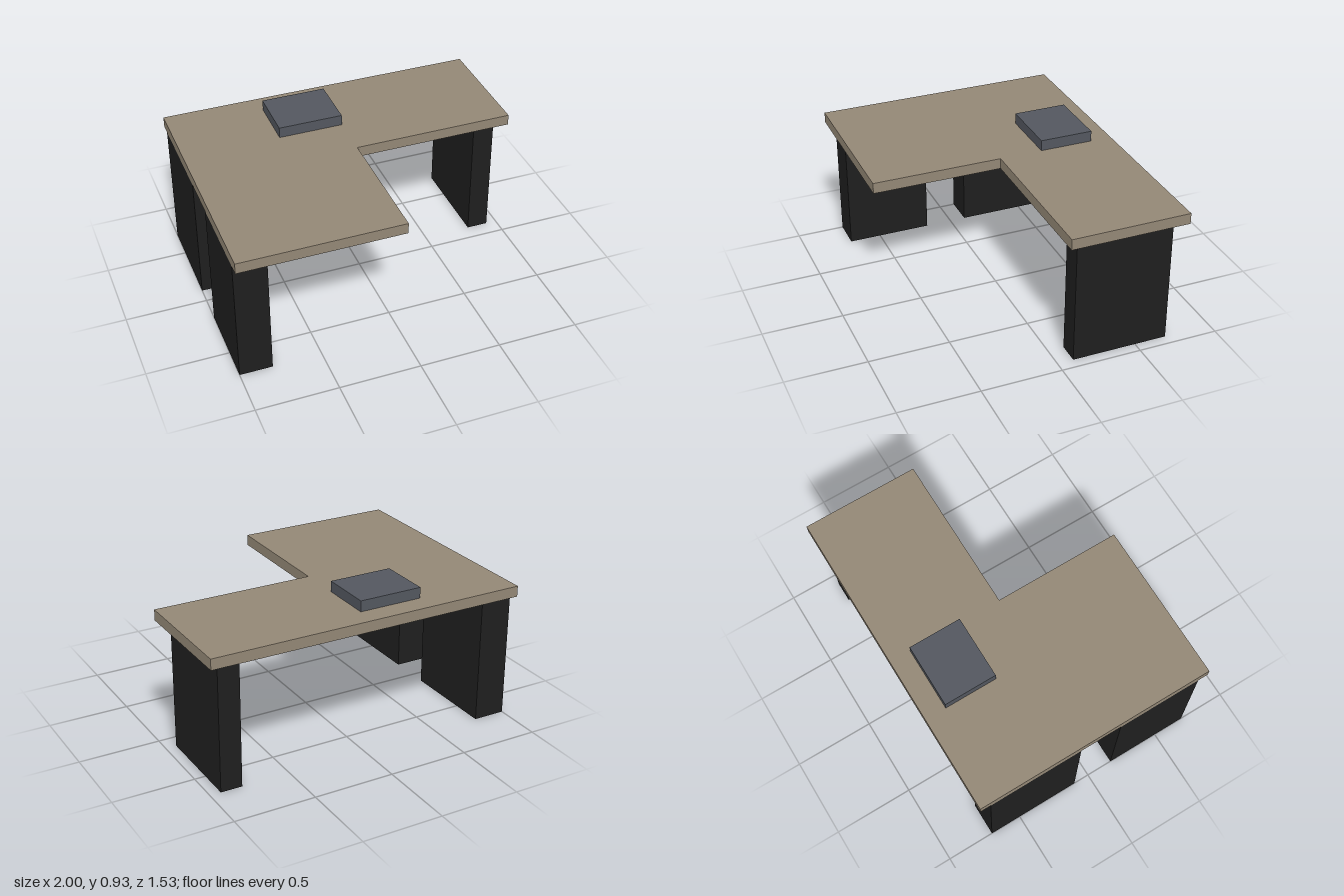
import * as THREE from 'three';

export function createModel() {
  const desk = new THREE.Group();
  desk.name = 'cornerDesk';

  const material = (name, color) => {
    const m = new THREE.MeshStandardMaterial({ color });
    m.name = name;
    return m;
  };
  const wood = material('taupe wood', 0x938775);
  const black = material('black panel', 0x1f1f1f);
  const slate = material('slate grey', 0x53575f);

  // Box given by its extents on each axis
  const addBox = (name, mat, [x0, x1], [y0, y1], [z0, z1]) => {
    const mesh = new THREE.Mesh(new THREE.BoxGeometry(x1 - x0, y1 - y0, z1 - z0), mat);
    mesh.position.set((x0 + x1) / 2, (y0 + y1) / 2, (z0 + z1) / 2);
    mesh.name = name;
    desk.add(mesh);
  };

  // L-shaped desktop, outlined in plan (x, -z) and extruded upwards
  const outline = [[-1, -0.767], [0, -0.767], [0, 0.033], [1, 0.033], [1, 0.767], [-1, 0.767]];
  const shape = new THREE.Shape(outline.map(([x, y]) => new THREE.Vector2(x, y)));
  const topGeometry = new THREE.ExtrudeGeometry(shape, { depth: 0.067, bevelEnabled: false });
  topGeometry.rotateX(-Math.PI / 2);
  const top = new THREE.Mesh(topGeometry, wood);
  top.position.y = 0.8;
  top.name = 'desktop';
  desk.add(top);

  // Pedestals under the two wings and the corner
  addBox('frontPedestal', black, [-1, -0.8], [0, 0.8], [0.167, 0.7]);
  addBox('cornerPedestal', black, [-1, -0.8], [0, 0.8], [-0.7, -0.1]);
  addBox('sidePedestal', black, [0.8, 0.933], [0, 0.8], [-0.7, -0.1]);

  // Flat box resting on the desktop
  addBox('deskBox', slate, [-0.4, 0], [0.867, 0.934], [-0.633, -0.3]);

  return desk;
}
